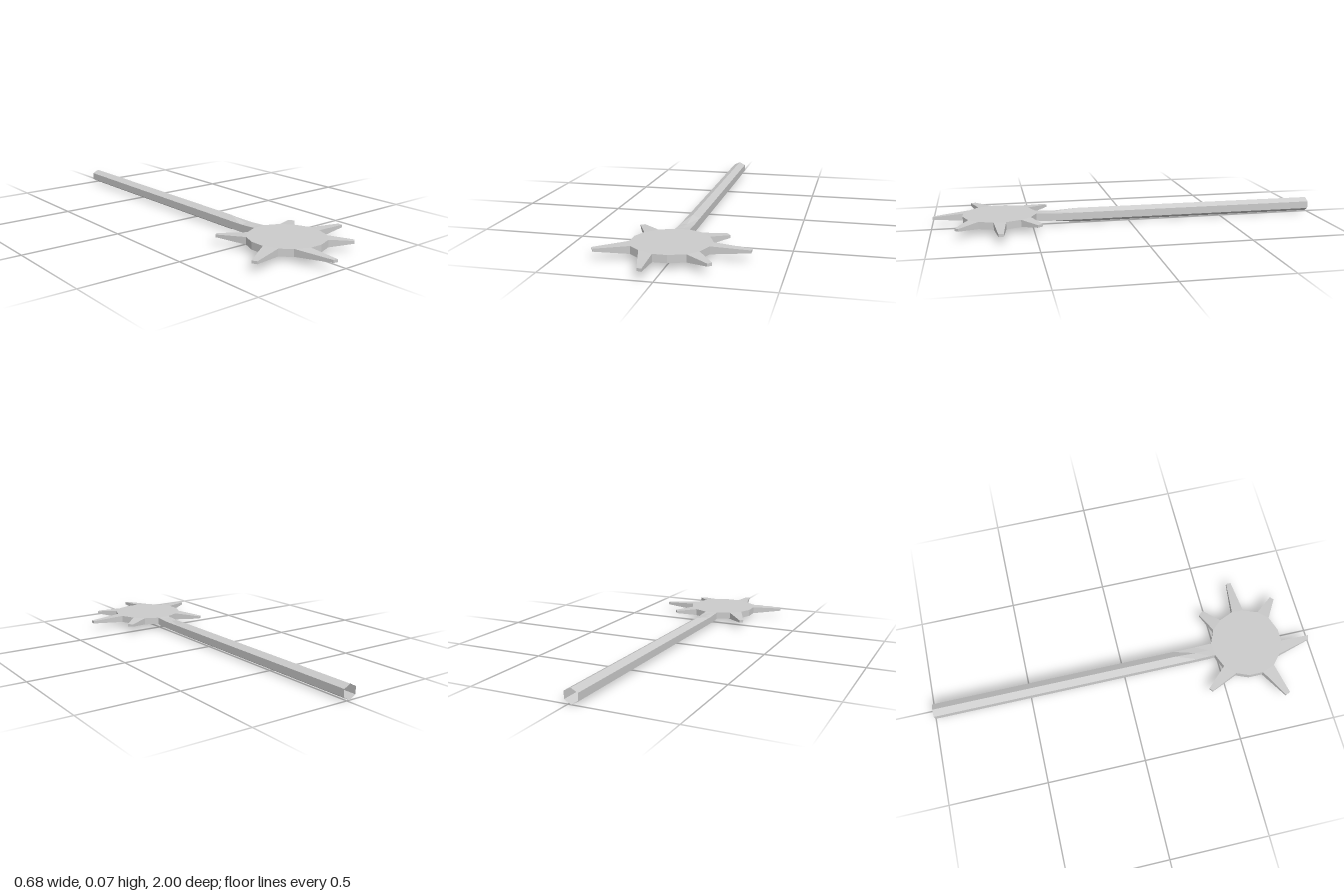
import * as THREE from 'three';

const RIM = [0.026, 0.062];   // bottom and top of the disc
const TIP = [0.038, 0.051];   // bottom and top of each spike tip

// Disc rim as [x, z], clockwise seen from above; the last edge meets the handle
const rim = [
  [0.018, 0.48], [0.09, 0.512], [0.135, 0.563], [0.167, 0.637],
  [0.163, 0.697], [0.135, 0.77], [0.09, 0.818], [0.015, 0.845],
  [-0.05, 0.845], [-0.12, 0.812], [-0.172, 0.767], [-0.198, 0.70],
  [-0.198, 0.627], [-0.172, 0.563], [-0.12, 0.512], [-0.05, 0.483],
];

// Spike tips, keyed by the rim edge they grow from
const tips = {
  1: [[0.193, 0.463], [0.213, 0.488]],
  3: [[0.34, 0.655], [0.34, 0.68]],
  5: [[0.21, 0.864], [0.193, 0.88]],
  8: [[-0.048, 0.995], [-0.07, 0.99]],
  10: [[-0.328, 0.807], [-0.34, 0.783]],
  13: [[-0.235, 0.422], [-0.217, 0.408]],
};

// Flat-shaded mesh from convex polygons, each split into a fan
function polyMesh(name, polygons) {
  const pos = [];
  for (const p of polygons)
    for (let i = 1; i < p.length - 1; i++) pos.push(...p[0], ...p[i], ...p[i + 1]);
  const geo = new THREE.BufferGeometry();
  geo.setAttribute('position', new THREE.Float32BufferAttribute(pos, 3));
  geo.computeVertexNormals();
  const mesh = new THREE.Mesh(geo, new THREE.MeshStandardMaterial({
    color: 0xcccccc, flatShading: true, side: THREE.DoubleSide,
  }));
  mesh.name = name;
  return mesh;
}

const at = ([x, z], y) => [x, y, z];

// Wall under the edge a-b, with its own heights at either end
const wall = (a, b, ya, yb) => [at(a, ya[1]), at(b, yb[1]), at(b, yb[0]), at(a, ya[0])];

export function createModel() {
  const group = new THREE.Group();
  group.name = 'spikedWheelOnHandle';

  // Disc: two caps, and walls where no spike or handle joins
  const disc = [rim.map(p => at(p, RIM[1])).reverse(), rim.map(p => at(p, RIM[0]))];
  for (let i = 0; i < rim.length - 1; i++)
    if (!tips[i]) disc.push(wall(rim[i], rim[i + 1], RIM, RIM));
  group.add(polyMesh('disc', disc));

  // Spikes, tapering in width and thickness
  for (const [edge, [t1, t2]] of Object.entries(tips)) {
    const a = rim[+edge], b = rim[+edge + 1];
    const loop = [a, t1, t2, b], heights = [RIM, TIP, TIP, RIM];
    const faces = [
      loop.map((p, i) => at(p, heights[i][1])).reverse(),
      loop.map((p, i) => at(p, heights[i][0])),
    ];
    for (let i = 0; i < 3; i++) faces.push(wall(loop[i], loop[i + 1], heights[i], heights[i + 1]));
    group.add(polyMesh('spike', faces));
  }

  // Handle: open six-sided bar flattening into the disc
  // Stations: z, ridge top, side top, side bottom, ridge bottom
  const rings = [
    [-1, 0.073, 0.056, 0.019, 0],
    [0.275, 0.073, 0.056, 0.019, 0],
    [0.39, 0.059, 0.056, 0.019, 0.018],
    [0.46, 0.06, 0.06, 0.02, 0.02],
    [0.483, 0.062, 0.062, 0.026, 0.026],
  ].map(([z, top, hi, lo, bottom]) => [
    [-0.016, top, z], [-0.05, hi, z], [-0.05, lo, z],
    [-0.016, bottom, z], [0.018, lo, z], [0.018, hi, z],
  ]);
  const bar = [];
  for (let r = 0; r < rings.length - 1; r++)
    for (let i = 0; i < 6; i++) {
      const j = (i + 1) % 6, p = rings[r], q = rings[r + 1];
      bar.push([p[i], p[j], q[j], q[i]]);
    }
  group.add(polyMesh('handle', bar));

  return group;
}
